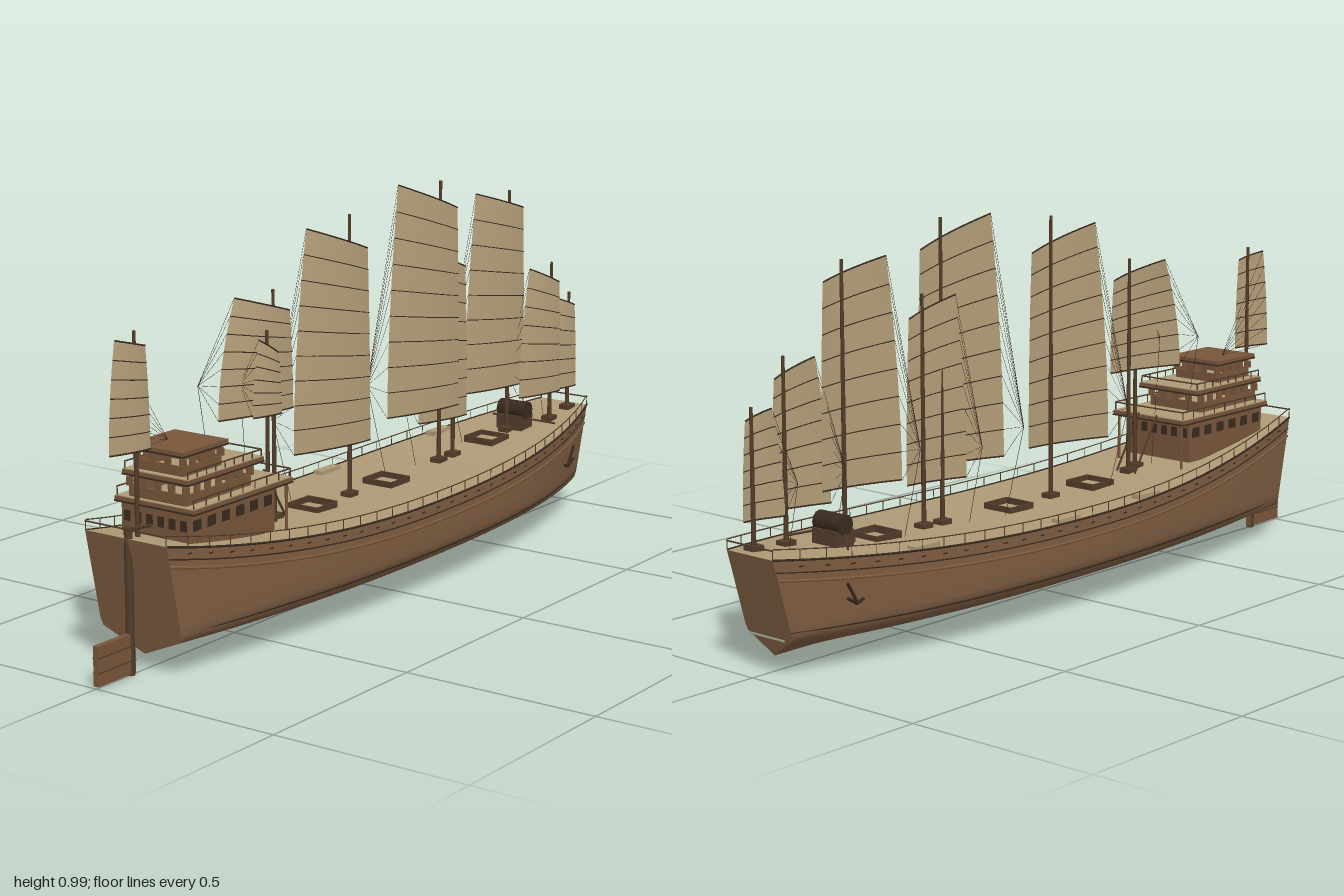
import * as THREE from 'three';

const mat = (name, color, side = THREE.FrontSide) => {
  const m = new THREE.MeshStandardMaterial({ color, side });
  m.name = name;
  return m;
};

export function createModel() {
  const ship = new THREE.Group();
  ship.name = 'sailingShip';
  const wood = mat('hullWood', 0x7f5d42);
  const houseWood = mat('houseWood', 0x78563b);
  const spar = mat('sparWood', 0x523c2a);
  const tan = mat('deckPlanks', 0xae9a76);
  const canvas = mat('sailCanvas', 0xb29d78, THREE.DoubleSide);
  const dark = mat('darkTimber', 0x382a1f);
  const metal = mat('paleMetal', 0x9c9c8a);

  // ---------- helpers ----------
  const V = (x, y, z) => new THREE.Vector3(x, y, z);
  const lerp = THREE.MathUtils.lerp;
  const add = (name, geo, m, parent = ship) => {
    const mesh = new THREE.Mesh(geo, m);
    mesh.name = name;
    parent.add(mesh);
    return mesh;
  };
  const group = (name) => {
    const g = new THREE.Group();
    g.name = name;
    ship.add(g);
    return g;
  };
  const box = (name, x0, x1, y0, y1, z0, z1, m, parent) =>
    add(name, new THREE.BoxGeometry(x1 - x0, y1 - y0, z1 - z0), m, parent)
      .position.set((x0 + x1) / 2, (y0 + y1) / 2, (z0 + z1) / 2);
  const rod = (name, a, b, r, m, parent, rTop = r, sides = 5) => {
    const mesh = add(name, new THREE.CylinderGeometry(rTop, r, a.distanceTo(b), sides), m, parent);
    mesh.position.copy(a).lerp(b, 0.5);
    mesh.quaternion.setFromUnitVectors(V(0, 1, 0), b.clone().sub(a).normalize());
  };
  const tube = (name, pts, r, m, parent) =>
    add(name, new THREE.TubeGeometry(new THREE.CatmullRomCurve3(pts), pts.length * 2, r, 5), m, parent);
  // Surface of nu by nv cells, facing du x dv
  const grid = (nu, nv, f) => {
    const pos = [], idx = [];
    for (let j = 0; j <= nv; j++)
      for (let i = 0; i <= nu; i++) pos.push(...f(i / nu, j / nv, i, j).toArray());
    for (let j = 0; j < nv; j++)
      for (let i = 0; i < nu; i++) {
        const a = j * (nu + 1) + i, c = a + nu + 1;
        idx.push(a, a + 1, c + 1, a, c + 1, c);
      }
    const g = new THREE.BufferGeometry();
    g.setAttribute('position', new THREE.Float32BufferAttribute(pos, 3));
    g.setIndex(idx);
    g.computeVertexNormals();
    return g;
  };

  // ---------- hull: round amidships, V-bottomed towards the ends ----------
  const keel = 0.037;
  const beam = (x) => x < 0.05 ? 0.21 - 0.09 * ((0.05 - x) / 0.94) ** 2
    : 0.21 - 0.135 * ((x - 0.05) / 0.95) ** 2.6;
  const sheer = (x) => x < 0.05 ? 0.235 + 0.09 * ((0.05 - x) / 0.94) ** 2.2
    : 0.235 + 0.05 * ((x - 0.05) / 0.95) ** 2;
  const hullPoint = (x, y, f) => {
    const keelX = -0.83 + (x + 0.89) * 1.76 / 1.89;
    return V(lerp(keelX, x, (y - keel) / (sheer(x) - keel)), y, f * beam(x));
  };
  const section = [[0, 1], [0.2, 1], [0.16, 1], [0.125, 0.998], [0.105, 0.97], [0.088, 0.9],
    [0.072, 0.77], [0.06, 0.6], [0.05, 0.36], [0.042, 0.13], [keel, 0]];
  const last = section.length - 1;
  const stationX = (u) => lerp(-0.89, 1, u);
  const ribPoint = (x, k, side) => {
    const [y, f] = section[k], end = Math.abs((x - 0.05) / 0.95) ** 4;
    const vee = Math.min(1, (y - keel) / 0.053);
    return hullPoint(x, k === 0 ? sheer(x) : y, (k === 0 ? 1 : lerp(f, vee, end)) * side);
  };
  add('hull', grid(56, last * 2, (u, v, i, j) =>
    ribPoint(stationX(u), j <= last ? j : 2 * last - j, j <= last ? -1 : 1)), wood);
  add('deck', grid(56, 2, (u, v) => {
    const x = stationX(u);
    return hullPoint(x, sheer(x), 1 - 2 * v);
  }), tan);
  add('bowTransom', grid(2, last, (u, v, i, j) => ribPoint(1, last - j, 1 - 2 * u)), wood);
  add('sternTransom', grid(2, last, (u, v, i, j) => ribPoint(-0.89, last - j, 2 * u - 1)), wood);

  // Wales, rails, stanchions, scuppers and anchors on both sides
  const trim = group('hullTrim');
  const along = (f) => Array.from({ length: 25 }, (_, i) => f(stationX(i / 24)));
  for (const s of [-1, 1]) {
    tube('gunwale', along((x) => hullPoint(x, sheer(x), s)), 0.0028, dark, trim);
    tube('upperWale', along((x) => hullPoint(x, sheer(x) - 0.03, s)), 0.0018, dark, trim);
    tube('middleWale', along((x) => hullPoint(x, sheer(x) - 0.05, s)), 0.004, wood, trim);
    tube('lowerWale', along((x) => hullPoint(x, 0.107, s * 0.975)), 0.0025, dark, trim);
    const railTop = (x) => hullPoint(x, sheer(x), s * 0.99).add(V(0, 0.025, 0));
    tube('handrail', along(railTop), 0.0015, spar, trim);
    for (let i = 0; i <= 30; i++) {
      const x = stationX(i / 30);
      rod('stanchion', hullPoint(x, sheer(x), s * 0.99), railTop(x), 0.0014, spar, trim, 0.0014, 4);
      const p = hullPoint(x, sheer(x) - 0.015, s);
      if (i > 0 && i < 30) box('scupper', p.x - 0.006, p.x + 0.006, p.y - 0.0015, p.y + 0.0015, p.z - 0.002, p.z + 0.002, dark, trim);
    }
    const z = s * beam(0.81) * 1.02;
    rod('anchorShank', V(0.83, 0.21, z), V(0.8, 0.16, z), 0.004, dark, trim);
    rod('anchorArm', V(0.78, 0.165, z), V(0.8, 0.157, z), 0.004, dark, trim);
    rod('anchorArm', V(0.83, 0.175, z), V(0.8, 0.157, z), 0.004, dark, trim);
  }
  for (const x of [-0.89, 1])
    rod('endRail', V(x, sheer(x) + 0.022, -beam(x)), V(x, sheer(x) + 0.022, beam(x)), 0.002, spar, trim);
  rod('bowBar', V(0.952, 0.085, -0.055), V(0.952, 0.085, 0.055), 0.003, metal, trim);

  // ---------- rudder ----------
  const rudder = group('rudder');
  box('rudderBlade', -1, -0.87, 0.005, 0.1, -0.007, 0.007, houseWood, rudder);
  for (const y of [0.035, 0.07]) box('rudderStrap', -1, -0.87, y, y + 0.003, -0.008, 0.008, spar, rudder);
  rod('rudderStock', V(-0.88, 0, 0), V(-0.88, 0.35, 0), 0.01, spar, rudder, 0.01, 8);
  rod('tiller', V(-0.88, 0.345, 0), V(-0.8, 0.335, 0), 0.004, spar, rudder);

  // ---------- stern house: windowed tiers with flat roofs ----------
  const house = group('sternHouse');
  const closedTier = (x0, x1, hz, y0, y1, w0, w1) => {
    box('cabinWalls', x0, x1, y0, y1, -hz, hz, houseWood, house);
    for (let i = 0; i < 6; i++) {
      const x = lerp(x0, x1, (i + 0.5) / 6), z = lerp(-hz, hz, (i + 0.5) / 6);
      box('sideWindow', x - 0.014, x + 0.014, w0, w1, -hz - 0.002, hz + 0.002, dark, house);
      box('endWindow', x0 - 0.002, x1 + 0.002, w0, w1, z - 0.009, z + 0.009, dark, house);
    }
  };
  const openTier = (x0, x1, hz, y0, y1, n, m) => {
    const sill = lerp(y0, y1, 0.5), head = lerp(y0, y1, 0.85), t = 0.003;
    for (const [a, b] of [[y0, sill], [head, y1]]) {
      for (const s of [-1, 1]) box('sideWall', x0, x1, a, b, s * hz - t, s * hz + t, houseWood, house);
      for (const x of [x0, x1]) box('endWall', x - t, x + t, a, b, -hz, hz, houseWood, house);
    }
    for (const s of [-1, 1]) {
      for (let i = 0; i <= n; i++) {
        const x = lerp(x0, x1, i / n);
        box('windowPost', x - 0.009, x + 0.009, sill, head, s * hz - t, s * hz + t, houseWood, house);
      }
    }
    for (const x of [x0, x1])
      for (let i = 0; i <= m; i++) {
        const z = lerp(-hz, hz, i / m);
        box('windowPost', x - t, x + t, sill, head, z - 0.009, z + 0.009, houseWood, house);
      }
  };
  const roof = (x0, x1, hz, y, top) => {
    box('roofSlab', x0, x1, y - 0.012, y, -hz, hz, houseWood, house);
    box('roofEdge', x0 - 0.001, x1 + 0.001, y - 0.013, y - 0.009, -hz - 0.001, hz + 0.001, dark, house);
    if (top) box('roofDeck', x0 + 0.002, x1 - 0.002, y, y + 0.002, -hz + 0.002, hz - 0.002, top, house);
  };
  const railing = (x0, x1, hz, y, h) => {
    for (const s of [-1, 1]) {
      rod('galleryRail', V(x0, y + h, s * hz), V(x1, y + h, s * hz), 0.002, spar, house);
      for (let i = 0; i <= 8; i++) {
        const x = lerp(x0, x1, i / 8);
        rod('galleryPost', V(x, y, s * hz), V(x, y + h, s * hz), 0.0018, spar, house);
      }
    }
    rod('galleryRail', V(x1, y + h, -hz), V(x1, y + h, hz), 0.002, spar, house);
  };
  closedTier(-0.785, -0.47, 0.1, 0.265, 0.375, 0.33, 0.355);
  roof(-0.79, -0.42, 0.117, 0.385, tan);
  railing(-0.785, -0.425, 0.113, 0.385, 0.022);
  openTier(-0.775, -0.54, 0.083, 0.385, 0.44, 6, 4);
  roof(-0.785, -0.505, 0.097, 0.45, tan);
  railing(-0.78, -0.51, 0.093, 0.45, 0.018);
  openTier(-0.765, -0.63, 0.068, 0.45, 0.5, 4, 3);
  roof(-0.78, -0.615, 0.08, 0.512);
  for (const s of [-1, 1]) {
    rod('verandaPost', V(-0.43, 0.25, s * 0.105), V(-0.43, 0.375, s * 0.105), 0.004, houseWood, house);
    rod('stairRail', V(-0.42, 0.39, s * 0.03), V(-0.33, 0.25, s * 0.03), 0.003, spar, house);
  }

  // ---------- deck fittings ----------
  const fittings = group('deckFittings');
  for (const x of [-0.185, 0.13, 0.6]) {
    const y = sheer(x), y0 = y - 0.01, y1 = y + 0.015;
    for (const s of [-1, 1]) {
      box('hatchSide', x - 0.042, x + 0.042, y0, y1, s * 0.043 - 0.002, s * 0.043 + 0.002, spar, fittings);
      box('hatchEnd', x + s * 0.04 - 0.002, x + s * 0.04 + 0.002, y0, y1, -0.043, 0.043, spar, fittings);
    }
    box('sideLocker', x - 0.04, x + 0.04, y - 0.01, y + 0.01, -beam(x) + 0.008, -beam(x) + 0.035, tan, fittings);
  }
  box('windlassFrame', 0.712, 0.768, 0.25, 0.3, -0.04, 0.04, spar, fittings);
  rod('windlassDrum', V(0.74, 0.312, -0.042), V(0.74, 0.312, 0.042), 0.025, dark, fittings, 0.025, 12);
  for (const s of [-1, 1])
    rod('windlassBar', V(0.74, 0.29, s * 0.04), V(0.79, 0.275, s * 0.1), 0.003, spar, fittings);

  // ---------- masts and battened sails ----------
  // mast x, mast top, mast z, trailing foot x, leading x, foot y, peak x, peak y, leading top y, battens
  const rigs = [
    [-0.83, 0.79, -0.015, -0.91, -0.8, 0.515, -0.885, 0.775, 0.755, 6],
    [-0.34, 0.81, 0, -0.505, -0.285, 0.515, -0.44, 0.8, 0.755, 7],
    [-0.385, 0.72, 0.015, -0.435, -0.35, 0.515, -0.41, 0.7, 0.665, 6],
    [-0.03, 0.95, 0, -0.205, 0.035, 0.37, -0.15, 0.925, 0.86, 9],
    [0.37, 0.985, 0, 0.195, 0.435, 0.385, 0.24, 0.985, 0.91, 9],
    [0.435, 0.81, 0, 0.31, 0.475, 0.35, 0.345, 0.8, 0.75, 8],
    [0.7, 0.92, 0, 0.545, 0.755, 0.385, 0.59, 0.92, 0.87, 8],
    [0.84, 0.71, 0.05, 0.715, 0.865, 0.35, 0.76, 0.7, 0.655, 7],
    [0.95, 0.61, 0.04, 0.86, 0.965, 0.345, 0.895, 0.6, 0.575, 6],
  ];
  for (const [mx, top, mz, x0, x1, foot, px, peak, lead, n] of rigs) {
    const rig = group('mastAndSail');
    const base = sheer(mx) - 0.01, width = x1 - x0;
    const aft = mx > -0.8;
    rod('mast', V(mx, base, mz), V(mx, top, mz), 0.006, spar, rig, 0.004, 8);
    if (aft) box('mastStep', mx - 0.018, mx + 0.018, base, base + 0.022, mz - 0.015, mz + 0.015, spar, rig);
    const point = (u, v) => {
      const left = x0 + (px - x0) * v ** 1.8, right = x1 - 0.012 * v * v;
      return V(lerp(left, right, u), lerp(foot, lerp(peak, lead, u), v),
        mz + 0.017 - 0.25 * width * (1 - u) ** 1.7);
    };
    add('sail', grid(12, n * 2, point), canvas, rig);
    // The sternmost sail sheets forward to the house roof, the rest aft to the deck
    const sheet = aft ? V(x0 - 0.008, foot + 0.08, mz - 0.42 * width) : V(-0.7, 0.512, -0.03);
    for (let i = 0; i <= n; i++) {
      const v = i / n;
      tube('batten', [0, 0.25, 0.5, 0.75, 1].map((u) => point(u, v)), i % n ? 0.0013 : 0.002, dark, rig);
      rod('sheetLine', point(0, v), sheet, 0.0005, dark, rig, 0.0005, 3);
    }
    if (aft) rod('sheetFall', sheet, V(x0, sheer(x0), mz - 0.2 * width), 0.0007, dark, rig, 0.0007, 3);
  }
  return ship;
}
